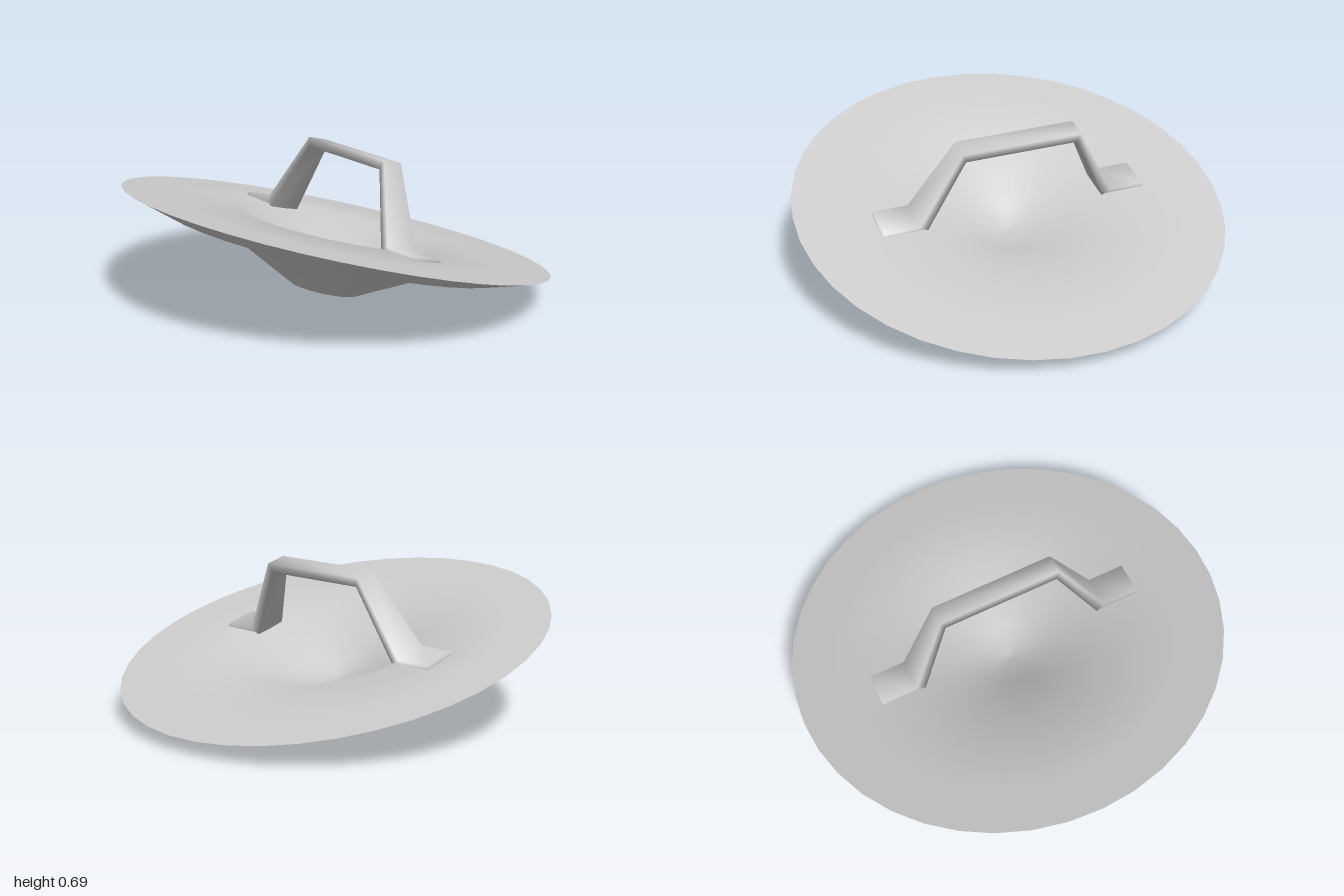
import * as THREE from 'three';

const TILT = -15 * Math.PI / 180;

const lathe = (name, profile, material) => {
  const points = profile.map(([r, y]) => new THREE.Vector2(r, y));
  const mesh = new THREE.Mesh(new THREE.LatheGeometry(points, 40), material);
  mesh.name = name;
  return mesh;
};

// Rectangular bar swept through cross-sections, with shared corners for soft shading
function barGeometry(sections) {
  const pos = [], index = [];
  sections.forEach(([zo, yo, zi, yi, w]) =>
    pos.push(-w, yo, zo, w, yo, zo, w, yi, zi, -w, yi, zi));
  for (let s = 0; s < sections.length - 1; s++) {
    for (let k = 0; k < 4; k++) {
      const a = s * 4 + k, b = s * 4 + (k + 1) % 4;
      index.push(a, b, b + 4, a, b + 4, a + 4);
    }
  }
  const e = (sections.length - 1) * 4;
  index.push(0, 2, 1, 0, 3, 2, e, e + 1, e + 2, e, e + 2, e + 3);
  const g = new THREE.BufferGeometry();
  g.setAttribute('position', new THREE.Float32BufferAttribute(pos, 3));
  g.setIndex(index);
  g.computeVertexNormals();
  return g;
}

export function createModel() {
  const metal = new THREE.MeshStandardMaterial({ color: 0xcccccc });
  metal.name = 'light grey metal';

  const model = new THREE.Group();
  model.name = 'discWithHandle';
  const tilted = new THREE.Group();
  tilted.name = 'tiltedDisc';
  tilted.position.y = 0.325;
  tilted.rotation.z = TILT;
  model.add(tilted);

  // Belled underside
  tilted.add(lathe('underside',
    [[0, -0.318], [0.16, -0.292], [0.46, -0.13], [0.807, -0.066], [1, 0]], metal));

  // Flat brim with a sunken bowl
  tilted.add(lathe('topSurface',
    [[1, 0], [0.807, 0], [0.46, 0], [0.16, -0.162], [0, -0.188]], metal));

  // Handle: foot, leg and grip; half is listed from the back, then mirrored
  // Each section: outer z, outer y, inner z, inner y, half width
  const half = [
    [-0.645, 0.015, -0.645, -0.03, 0.081],
    [-0.475, 0.015, -0.445, -0.03, 0.081],
    [-0.287, 0.363, -0.27, 0.32, 0.049],
  ];
  const mirrored = half.map(([zo, yo, zi, yi, w]) => [-zo, yo, -zi, yi, w]).reverse();
  // Running from front to back keeps the faces outward
  const sections = [...half, ...mirrored].reverse();
  const handle = new THREE.Mesh(barGeometry(sections), metal);
  handle.name = 'handle';
  // Winding check: top corners run -x to +x, so sections must advance toward +z
  handle.geometry = barGeometry(orient(sections));
  tilted.add(handle);

  return model;
}

// Orders sections so that the swept faces point outward
function orient(sections) {
  const a = new THREE.Vector3(1, 0, 0);
  const b = new THREE.Vector3(0, 0, sections[1][0] - sections[0][0]);
  const up = a.cross(b).y;
  return up > 0 ? sections : [...sections].reverse();
}
